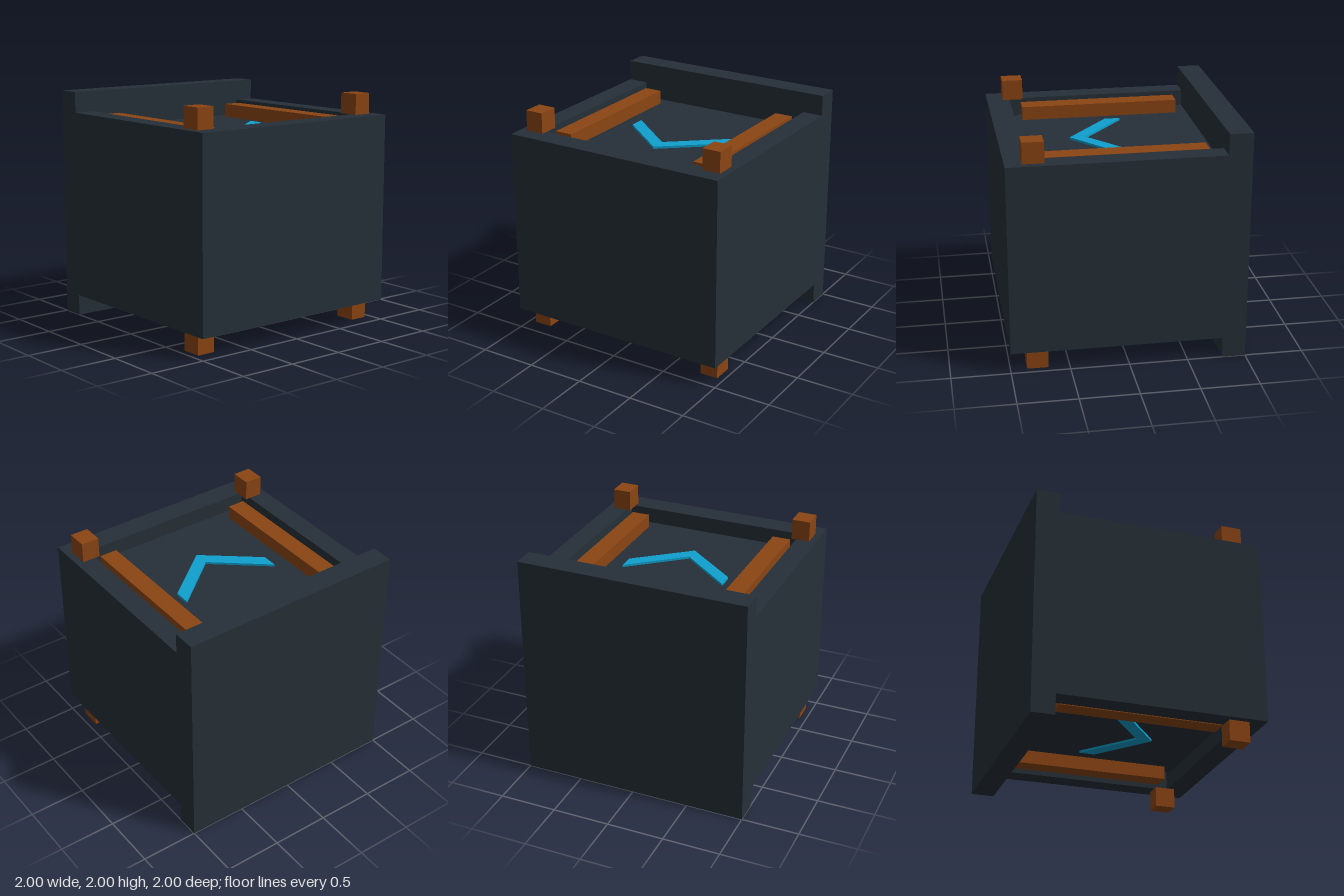
import * as THREE from 'three';

const dark = new THREE.MeshStandardMaterial({ color: 0x263038 });
const wood = new THREE.MeshStandardMaterial({ color: 0x8b4513 });
const blue = new THREE.MeshStandardMaterial({ color: 0x0fa0cd });

export function createModel() {
  const model = new THREE.Group();

  const add = (name, geometry, material) => {
    const mesh = new THREE.Mesh(geometry, material);
    mesh.name = name;
    model.add(mesh);
    return mesh;
  };

  // Box given by its lowest and highest corners
  const block = (name, material, [x0, y0, z0], [x1, y1, z1]) =>
    add(name, new THREE.BoxGeometry(x1 - x0, y1 - y0, z1 - z0), material)
      .position.set((x0 + x1) / 2, (y0 + y1) / 2, (z0 + z1) / 2);

  // Horizontal plate from an [x, z] outline, between two heights
  const plate = (name, material, outline, y0, y1) => {
    const shape = new THREE.Shape(outline.map(([x, z]) => new THREE.Vector2(x, -z)));
    const geometry = new THREE.ExtrudeGeometry(shape, { depth: y1 - y0, bevelEnabled: false });
    geometry.rotateX(-Math.PI / 2).translate(0, y0, 0);
    add(name, geometry, material);
  };

  // Outer walls, with the back slab standing taller
  block('backSlab', dark, [-1, 0, -1], [1, 2, -0.8]);
  block('frontWall', dark, [-0.82, 0.18, 0.8], [0.82, 1.82, 1]);
  block('leftWall', dark, [0.82, 0.18, -0.8], [1, 1.82, 1]);
  block('rightWall', dark, [-1, 0.18, -0.8], [-0.82, 1.82, 1]);

  // Recessed core; its cut front corners leave two open shafts
  plate('core', dark, [
    [-0.82, -0.8], [0.82, -0.8], [0.82, 0.66], [0.68, 0.8], [-0.68, 0.8], [-0.82, 0.66],
  ], 0.32, 1.68);

  // Rails, pegs and chevron, the same on the top and the bottom
  const chevron = [[-0.46, -0.16], [0, 0.22], [0.46, -0.16], [0.46, -0.02], [0, 0.355], [-0.46, -0.02]];
  for (const end of ['top', 'bottom']) {
    const span = (a, b) => (end === 'top' ? [a, b] : [2 - b, 2 - a]);
    const [r0, r1] = span(1.68, 1.8);
    const [p0, p1] = span(1.82, 2);
    const [c0, c1] = span(1.67, 1.7);
    for (const [side, s] of [['Left', 1], ['Right', -1]]) {
      const rx = s * 0.68, px = s * 0.86;
      block(end + side + 'Rail', wood, [rx - 0.08, r0, -0.7], [rx + 0.08, r1, 0.7]);
      block(end + side + 'Peg', wood, [px - 0.08, p0, 0.68], [px + 0.08, p1, 0.86]);
    }
    plate(end + 'Chevron', blue, chevron, c0, c1);
  }

  return model;
}
